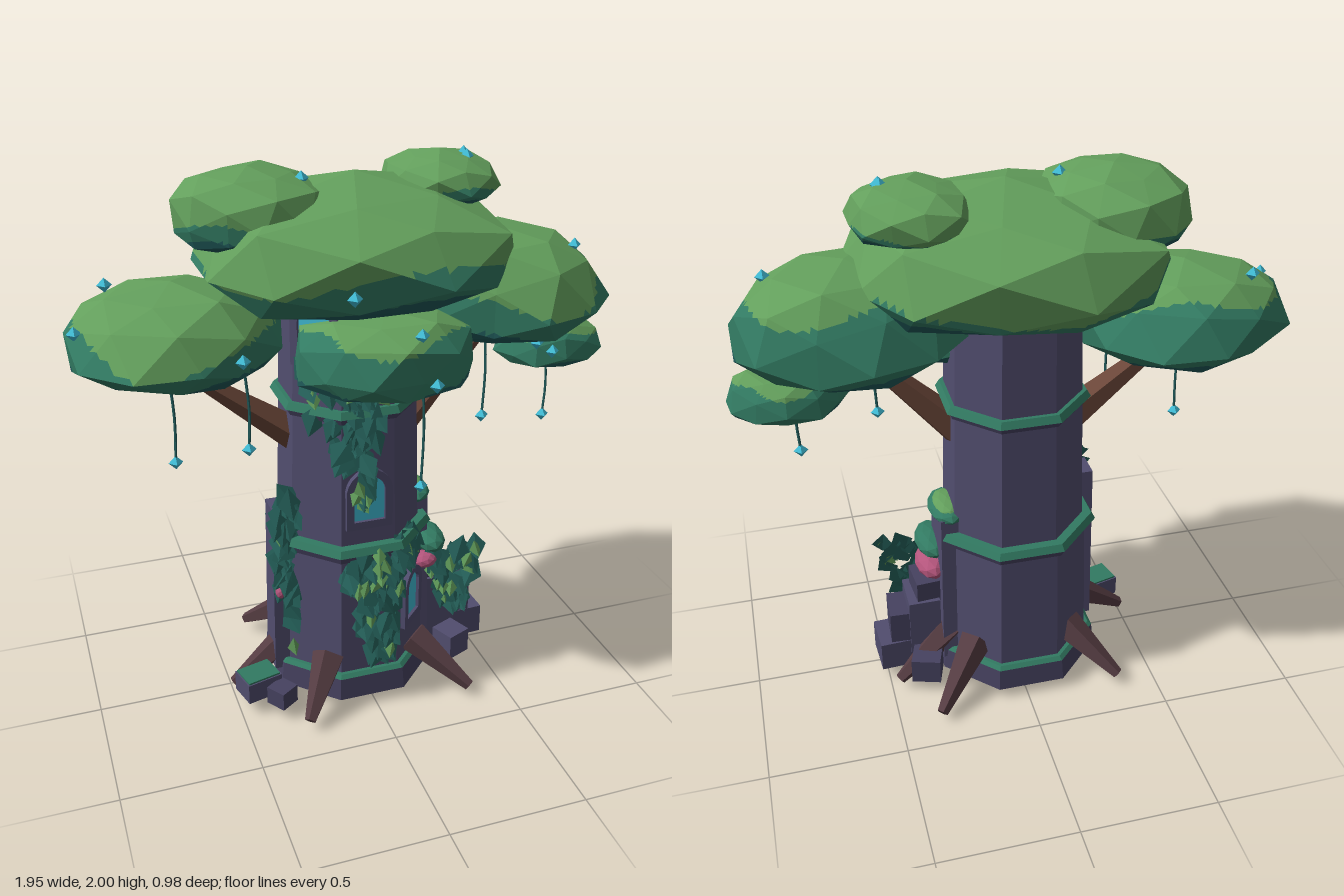
import * as THREE from 'three';
import { mergeGeometries } from 'three/addons/utils/BufferGeometryUtils.js';

const mat = (name, color, side = THREE.FrontSide) => new THREE.MeshStandardMaterial({ name, color, flatShading: true, side });
const M = {
  leafLight: mat('leafLight', 0x639f5c, THREE.DoubleSide),
  leafMid: mat('leafMid', 0x327a62),
  leafDark: mat('leafDark', 0x205a5a),
  ivy: mat('ivy', 0x27665f, THREE.DoubleSide),
  stone: mat('stone', 0x514d6e),
  darkStone: mat('darkStone', 0x464260),
  bark: mat('bark', 0x6b4739),
  root: mat('root', 0x553c42),
  crystal: mat('crystal', 0x41bdd6),
  blossom: mat('blossom', 0xb4557c),
};
const CX = -0.015, CZ = -0.02; // tower axis

let seed = 7;
const rnd = () => ((seed = (seed * 16807) % 2147483647) / 2147483647);
const V = (x, y, z) => new THREE.Vector3(x, y, z);

function add(parent, name, geo, material, x = 0, y = 0, z = 0, ry = 0) {
  const m = new THREE.Mesh(geo, material);
  m.name = name;
  m.position.set(x, y, z);
  m.rotation.y = ry;
  parent.add(m);
  return m;
}

// Tapered limb between two points
function limb(parent, name, a, b, ra, rb, material, sides = 5) {
  const d = b.clone().sub(a);
  const m = add(parent, name, new THREE.CylinderGeometry(rb, ra, d.length(), sides), material);
  m.position.copy(a).addScaledVector(d, 0.5);
  m.quaternion.setFromUnitVectors(V(0, 1, 0), d.normalize());
}

// Faceted, flat-bottomed leaf mass filling the box lo..hi, with wavy bands of colour by height;
// lean lowers the light band toward the front
function canopy(parent, name, lo, hi, light, lean, s) {
  const geo = new THREE.IcosahedronGeometry(1, 1).rotateY(s);
  const p = geo.attributes.position, v = V(0, 0, 0);
  for (let i = 0; i < p.count; i++) {
    v.fromBufferAttribute(p, i);
    v.multiplyScalar(1 + 0.08 * Math.sin(4 * v.x + s * 3) * Math.cos(5 * v.z + s) + 0.04 * Math.sin(6 * v.y + s));
    const y = Math.pow(Math.abs(v.y), 0.75);
    p.setXYZ(i, v.x, v.y < 0 ? -0.55 * y : y, v.z);
  }
  geo.computeBoundingBox();
  const bb = geo.boundingBox, size = bb.getSize(V(0, 0, 0));
  const fit = (q) => V(...['x', 'y', 'z'].map((k, i) => lo[i] + (q[k] - bb.min[k]) / size[k] * (hi[i] - lo[i])));
  const bands = [[], [], []], N = 7;
  for (let f = 0; f < p.count; f += 3) {
    const [a, b, c] = [0, 1, 2].map((k) => V(0, 0, 0).fromBufferAttribute(p, f + k));
    const at = (i, j) => a.clone().multiplyScalar(N - i - j).addScaledVector(b, i).addScaledVector(c, j).divideScalar(N);
    const put = (...t) => {
      const m = t[0].clone().add(t[1]).add(t[2]).divideScalar(3);
      const h = m.y + 0.12 * Math.sin(3 * Math.atan2(m.z, m.x) + s * 2);
      const band = h + lean * m.z > light ? 0 : h > -0.25 ? 1 : 2;
      t.forEach((q) => bands[band].push(...fit(q).toArray()));
    };
    for (let i = 0; i < N; i++) for (let j = 0; j < N - i; j++) {
      put(at(i, j), at(i + 1, j), at(i, j + 1));
      if (i + j < N - 1) put(at(i + 1, j), at(i + 1, j + 1), at(i, j + 1));
    }
  }
  const out = new THREE.BufferGeometry();
  out.setAttribute('position', new THREE.Float32BufferAttribute(bands.flat(), 3));
  let start = 0;
  bands.forEach((b, i) => { out.addGroup(start, b.length / 3, i); start += b.length / 3; });
  out.computeVertexNormals();
  add(parent, name, out, [M.leafLight, M.leafMid, M.leafDark]);
}

// Octagonal tier with flat faces to the axes
const tier = (parent, name, y0, y1, r0, r1, material) =>
  add(parent, name, new THREE.CylinderGeometry(r1, r0, y1 - y0, 8, 1, false, Math.PI / 8), material, CX, (y0 + y1) / 2, CZ);

const archShape = (w, h) => {
  const s = new THREE.Shape();
  s.moveTo(-w, 0);
  s.lineTo(w, 0);
  s.lineTo(w, h - w);
  s.quadraticCurveTo(w * 0.9, h - w * 0.3, 0, h);
  s.quadraticCurveTo(-w * 0.9, h - w * 0.3, -w, h - w);
  return s;
};

// Arched window with a raised surround, on the wall facing the given angle
function archWindow(parent, name, angle, y, dist, w, h) {
  const g = new THREE.Group();
  g.name = name;
  g.rotation.y = angle;
  g.position.set(CX, y, CZ);
  parent.add(g);
  const frame = archShape(w + 0.028, h + 0.06);
  const hole = archShape(w, h);
  frame.holes.push(new THREE.Path(hole.getPoints(5).map((q) => q.add(new THREE.Vector2(0, 0.03)))));
  add(g, 'windowFrame', new THREE.ExtrudeGeometry(frame, { depth: 0.035, bevelEnabled: false, curveSegments: 5 }), M.stone, 0, -0.03, dist - 0.015);
  add(g, 'windowPane', new THREE.ExtrudeGeometry(hole, { depth: 0.008, bevelEnabled: false, curveSegments: 5 }), M.crystal, 0, 0, dist);
}

// Curtain of folded leaves, narrowing downward, hugging the front wall or at a fixed depth
function ivy(parent, name, n, x0, x1, y0, y1, depth, tip = 0.5, lightShare = 0.14) {
  const sets = [[], []];
  for (let i = 0; i < n; i++) {
    const t = Math.pow(rnd(), 0.8), y = y0 + 0.04 + (y1 - y0 - 0.04) * t;
    const x = x0 + (x1 - x0) * (tip + (rnd() - tip) * Math.min(1, 0.25 + 1.3 * t));
    const a = 0.29 - 0.05 * y;
    const z = depth ?? CZ + Math.min(a, a * 1.414 - Math.abs(x - CX)) + 0.012;
    const light = rnd() < lightShare, k = light ? 0.034 : 0.05 + 0.014 * rnd();
    const g = new THREE.BufferGeometry();
    g.setAttribute('position', new THREE.Float32BufferAttribute(
      [0, k, 0, -k * 0.75, 0, -0.008, 0, -k, 0.008, 0, k, 0, 0, -k, 0.008, k * 0.75, 0, -0.008], 3));
    g.computeVertexNormals();
    g.rotateZ((rnd() - 0.5) * 1.3).rotateX(-0.15 - 0.25 * rnd()).rotateY((rnd() - 0.5) * 0.7 + (depth === undefined ? (x - CX) * 2 : 0));
    g.translate(x, y, z + rnd() * 0.022 + (light ? 0.015 : 0));
    sets[light ? 1 : 0].push(g);
  }
  sets.forEach((s, i) => s.length && add(parent, name + (i ? 'Highlights' : ''), mergeGeometries(s), i ? M.leafLight : M.ivy));
}

export function createModel() {
  const root = new THREE.Group();
  root.name = 'treeTower';

  // Tower tiers, collars and moss trims
  const rim = [[0.2, 0.05], [0.2, 0.012], [0.25, 0.012], [0.28, 0.05]].map((q) => new THREE.Vector2(...q));
  add(root, 'footRim', new THREE.LatheGeometry(rim, 8, Math.PI / 8), M.root, CX, 0, CZ);
  tier(root, 'plinth', 0.045, 0.13, 0.33, 0.32, M.darkStone);
  tier(root, 'plinthMoss', 0.13, 0.143, 0.32, 0.305, M.leafMid);
  tier(root, 'lowerTower', 0.14, 0.64, 0.29, 0.275, M.stone);
  tier(root, 'lowerCollar', 0.62, 0.65, 0.295, 0.305, M.darkStone);
  tier(root, 'lowerCollarMoss', 0.65, 0.675, 0.315, 0.3, M.leafMid);
  tier(root, 'upperTower', 0.67, 1.17, 0.265, 0.25, M.stone);
  tier(root, 'upperCollar', 1.15, 1.175, 0.26, 0.27, M.darkStone);
  tier(root, 'upperCollarMoss', 1.175, 1.2, 0.28, 0.265, M.leafMid);
  tier(root, 'topTower', 1.19, 1.62, 0.25, 0.235, M.stone);

  // Windows
  archWindow(root, 'upperWindow', 0, 0.77, 0.238, 0.058, 0.18);
  archWindow(root, 'lowerWindow', Math.PI / 4, 0.3, 0.262, 0.048, 0.18);
  archWindow(root, 'topWindow', -Math.PI / 4, 1.37, 0.222, 0.065, 0.19);

  // Tapered piers against the side walls
  [[0.225, 0.73, -0.04, 0.13, 0.22], [-0.28, 0.78, 0.03, 0.12, 0.12]].forEach(([x, top, z, w, d]) => {
    const pier = new THREE.CylinderGeometry(0.6, Math.SQRT1_2, top - 0.1, 4, 1, false, Math.PI / 4).scale(w, 1, d);
    add(root, 'pier', pier, M.stone, x, (top + 0.1) / 2, z);
  });

  // Fallen blocks: x, y, z, width, height, depth, turn
  [[0.46, 0.11, -0.03, 0.14, 0.12, 0.15, 0.05], [0.41, 0.235, -0.03, 0.14, 0.13, 0.14, -0.05],
    [0.35, 0.2, -0.03, 0.12, 0.3, 0.16, 0], [0.33, 0.36, -0.03, 0.1, 0.14, 0.13, 0.08],
    [0.37, 0.1, 0.12, 0.1, 0.1, 0.1, 0.4], [0.36, 0.1, -0.17, 0.11, 0.1, 0.1, -0.3],
    [-0.42, 0.095, 0.14, 0.14, 0.08, 0.11, 0.25], [-0.35, 0.08, 0.22, 0.08, 0.07, 0.08, 0.6],
  ].forEach(([x, y, z, w, h, d, r], i) =>
    add(root, 'stoneBlock', new THREE.BoxGeometry(w, h, d), i % 2 ? M.darkStone : M.stone, x, y, z, r));
  add(root, 'blockMoss', new THREE.BoxGeometry(0.13, 0.008, 0.1), M.leafMid, -0.42, 0.138, 0.14, 0.25);

  // Moss cushions and blossoms on the ruined piers
  [['pierMoss', M.leafMid, 0.24, 0.73, -0.035, 0.07, 0.035, 0.115], ['pierMossTop', M.leafLight, 0.24, 0.745, -0.035, 0.055, 0.026, 0.09],
    ['ledgeMoss', M.leafMid, 0.29, 0.54, 0.03, 0.065, 0.045, 0.11], ['blossom', M.blossom, 0.3, 0.47, -0.01, 0.065, 0.05, 0.1],
    ['blossom', M.blossom, 0.26, 0.475, 0.09, 0.05, 0.032, 0.045], ['smallBlossom', M.blossom, -0.32, 0.46, 0.11, 0.02, 0.03, 0.03],
  ].forEach(([n, m, x, y, z, a, b, c]) => add(root, n, new THREE.IcosahedronGeometry(1, 1).scale(a, b, c), m, x, y, z));

  // Spreading roots: angle from +x toward +z, reach
  [[45, 0.5], [128, 0.46], [174, 0.5], [225, 0.5], [312, 0.52], [-20, 0.5]].forEach(([deg, r]) => {
    const a = deg * Math.PI / 180, at = (d, y) => V(Math.cos(a) * d, y, Math.sin(a) * d);
    limb(root, 'root', at(0.26, 0.2), at(r, 0.045), 0.065, 0.022, M.root);
  });

  // Branches
  limb(root, 'rightBranch', V(-0.17, 1.0, -0.02), V(-0.53, 1.27, -0.02), 0.07, 0.03, M.bark);
  limb(root, 'leftBranch', V(0.15, 1.0, 0), V(0.46, 1.33, 0), 0.07, 0.035, M.bark);

  // Leaf masses
  canopy(root, 'mainCanopy', [-0.53, 1.51, -0.49], [0.55, 1.96, 0.47], 0, -0.12, 0.3);
  canopy(root, 'rightCanopy', [-0.98, 1.29, -0.4], [-0.24, 1.63, 0.29], 0.42, 0.3, 1.1);
  canopy(root, 'leftCanopy', [0.16, 1.34, -0.36], [0.93, 1.73, 0.36], 0.42, 0.3, 2.2);
  canopy(root, 'smallCanopy', [0.55, 1.2, -0.17], [0.97, 1.37, 0.16], 0.6, 0, 3.1);
  canopy(root, 'frontCanopy', [-0.27, 1.27, -0.06], [0.39, 1.54, 0.46], 0.6, 0, 4.3);
  canopy(root, 'upperRightCanopy', [-0.6, 1.73, -0.32], [-0.08, 1.99, 0.22], 0, -0.1, 5.2);
  canopy(root, 'upperLeftCanopy', [0.13, 1.81, -0.3], [0.53, 2.0, 0.15], 0, -0.1, 6.4);

  // Ivy curtains
  ivy(root, 'upperIvy', 60, -0.22, 0.05, 0.93, 1.36, undefined, 0.65, 0.05);
  ivy(root, 'windowIvy', 6, -0.09, 0.0, 0.8, 0.94, 0.25, 0.5, 0.7);
  ivy(root, 'lowerIvy', 65, -0.1, 0.1, 0.18, 0.64, undefined, 0.65);
  ivy(root, 'sillIvy', 18, 0.08, 0.21, 0.5, 0.65);
  ivy(root, 'leftIvy', 40, 0.28, 0.47, 0.19, 0.5, 0.085);
  ivy(root, 'rightIvy', 24, -0.335, -0.26, 0.42, 0.85, 0.1);
  ivy(root, 'rightLowIvy', 7, -0.31, -0.26, 0.18, 0.5, 0.11, 0.5, 0.3);

  // Leaves growing inside the hollow foot
  const hollow = new THREE.Group();
  hollow.name = 'hollowFoot';
  hollow.rotation.x = Math.PI / 2;
  hollow.position.y = 0.045;
  root.add(hollow);
  ivy(hollow, 'hollowIvy', 12, -0.12, 0.1, -0.14, 0.08, 0, 0.5, 0);

  // Crystals scattered on the leaves
  const gem = new THREE.OctahedronGeometry(0.026);
  const crystal = (x, y, z) => add(root, 'crystal', gem, M.crystal, x, y, z);
  [[-0.95, 1.51, 0.03], [-0.46, 1.45, 0.29], [-0.82, 1.6, -0.17], [-0.18, 1.95, 0.01], [-0.14, 1.67, 0.44],
    [0.1, 1.51, 0.4], [0.13, 1.36, 0.465], [0.42, 1.98, -0.06], [0.42, 1.975, -0.03], [0.8, 1.66, 0.08],
    [0.65, 1.33, 0.14], [0.7, 1.3, 0.165]].forEach((c) => crystal(...c));

  // Hanging tendrils ending in crystals: x, top, bottom, z
  [[-0.65, 1.33, 0.99, 0], [-0.41, 1.34, 1.05, 0.1], [0.16, 1.34, 0.9, 0.275], [0.45, 1.42, 1.07, 0.13], [0.74, 1.25, 1.0, 0.05]]
    .forEach(([x, top, bottom, z]) => {
      const path = new THREE.CatmullRomCurve3([V(x - 0.005, top, z), V(x + 0.006, (top + bottom) / 2, z), V(x, bottom, z)]);
      add(root, 'tendril', new THREE.TubeGeometry(path, 6, 0.005, 4), M.leafDark);
      crystal(x, bottom, z);
    });
  return root;
}
